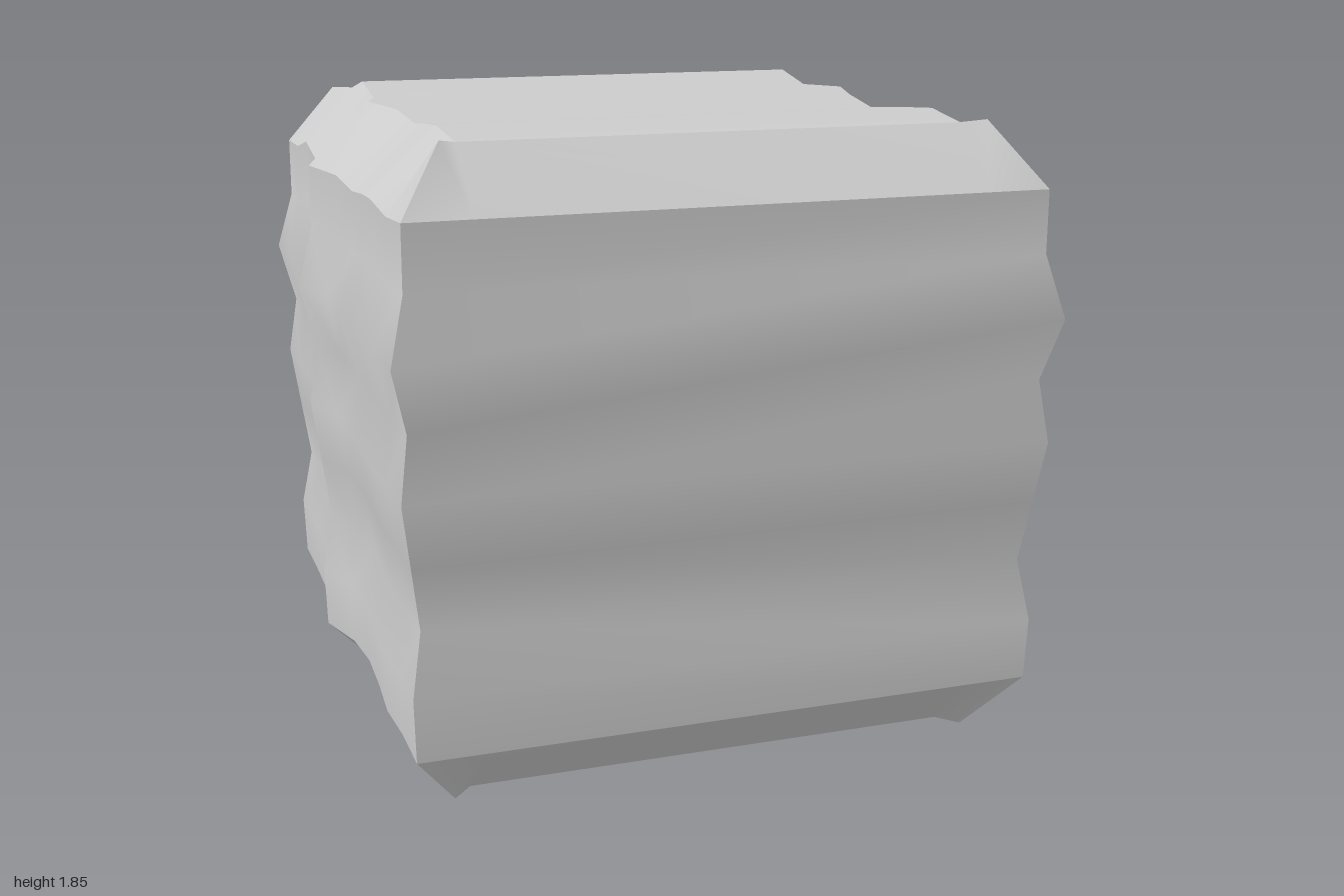
import * as THREE from 'three';

// Wave offsets on nine evenly spaced stations
const WAVE_Y = [0, 0.006, -0.025, 0, 0.025, 0, 0.045, 0, 0];           // walls, bottom to top
const WAVE_Z = [0, 0, 0, 0.05, 0, -0.012, -0.006, 0.006, 0];           // side walls, back to front
const LIFT_Z = [0.002, 0.036, 0.002, 0.008, 0, -0.022, -0.004, 0.01, -0.012]; // top and base, back to front
const STATION = WAVE_Y.map((_, i) => (i - 4) * 0.18);

const MID = 0.92;     // middle height
const WALL = 0.905;   // half width of the walls
const CAP = 0.72;     // half width of the top and base, half height of the walls
const TIP = 0.775;    // half width at the raised corner tips
const RISE = 0.903;   // half height of the body

const lift = (i, up) => (up > 0 ? LIFT_Z[i] : -0.25 * LIFT_Z[i]);

// Skin a grid of points; the outside is rowDirection x columnDirection, or opposite when flipped
function skin(name, rows, flip) {
  const n = rows[0].length;
  const index = [];
  for (let i = 0; i < rows.length - 1; i++) {
    for (let j = 0; j < n - 1; j++) {
      const a = i * n + j, b = a + 1, c = a + n, d = c + 1;
      // diagonals lean outward from the middle so corner tips fold cleanly
      const tris = j < (n - 1) / 2 ? [[a, c, b], [b, c, d]] : [[a, c, d], [a, d, b]];
      for (const [p, q, r] of tris) index.push(...(flip ? [p, r, q] : [p, q, r]));
    }
  }
  const geometry = new THREE.BufferGeometry();
  geometry.setAttribute('position', new THREE.Float32BufferAttribute(rows.flat(2), 3));
  geometry.setIndex(index);
  geometry.computeVertexNormals();
  const mesh = new THREE.Mesh(geometry, new THREE.MeshStandardMaterial({ color: 0xcccccc }));
  mesh.name = name;
  return mesh;
}

// Side wall: waves along both height and depth
function sideWall(s) {
  const rows = WAVE_Y.map((f, r) => {
    const t = r / 8;
    const y = MID + STATION[r];
    const inner = STATION.map((z, i) => [
      s * (WALL + f + WAVE_Z[i]),
      y + lift(i, 1) * t + lift(i, -1) * (1 - t),
      z,
    ]);
    return [[s * (WALL + f), y, -WALL - f], ...inner, [s * (WALL + f), y, WALL + f]];
  });
  return skin(s > 0 ? 'leftWall' : 'rightWall', rows, s < 0);
}

// Front or back wall: waves along height only
function endWall(s) {
  const rows = [-1, 1].map((k) =>
    WAVE_Y.map((f, r) => [k * (WALL + f), MID + STATION[r], s * (WALL + f)]));
  return skin(s > 0 ? 'frontWall' : 'backWall', rows, s < 0);
}

// Top or base: rolling along depth
function cap(up) {
  const rows = STATION.map((z, i) => [-1, 1].map((k) =>
    [k * (CAP + WAVE_Z[i]), MID + up * RISE + lift(i, up), z]));
  return skin(up > 0 ? 'top' : 'base', rows, up < 0);
}

// Sloped edge between a side wall and the top or base
function sideBevel(s, up) {
  const row = (half, height, corner) => [
    [s * corner, MID + up * height, -corner],
    ...STATION.map((z, i) => [s * (half + WAVE_Z[i]), MID + up * height + lift(i, up), z]),
    [s * corner, MID + up * height, corner],
  ];
  return skin('sideBevel', [row(WALL, CAP, WALL), row(CAP, RISE, TIP)], s * up < 0);
}

// Sloped edge between the front or back wall and the top or base
function endBevel(s, up) {
  const edge = lift(s > 0 ? 8 : 0, up);
  const outer = [-WALL, -CAP, CAP, WALL].map((x) => [x, MID + up * CAP, s * WALL]);
  const inner = [-TIP, -CAP, CAP, TIP].map((x) => {
    const tip = Math.abs(x) > CAP;
    return [x, MID + up * RISE + (tip ? 0 : edge), s * (tip ? TIP : CAP)];
  });
  return skin('endBevel', [outer, inner], s * up > 0);
}

export function createModel() {
  const model = new THREE.Group();
  model.name = 'wavyBlock';
  for (const s of [-1, 1]) {
    model.add(sideWall(s), endWall(s), cap(s));
    for (const up of [-1, 1]) model.add(sideBevel(s, up), endBevel(s, up));
  }
  return model;
}
